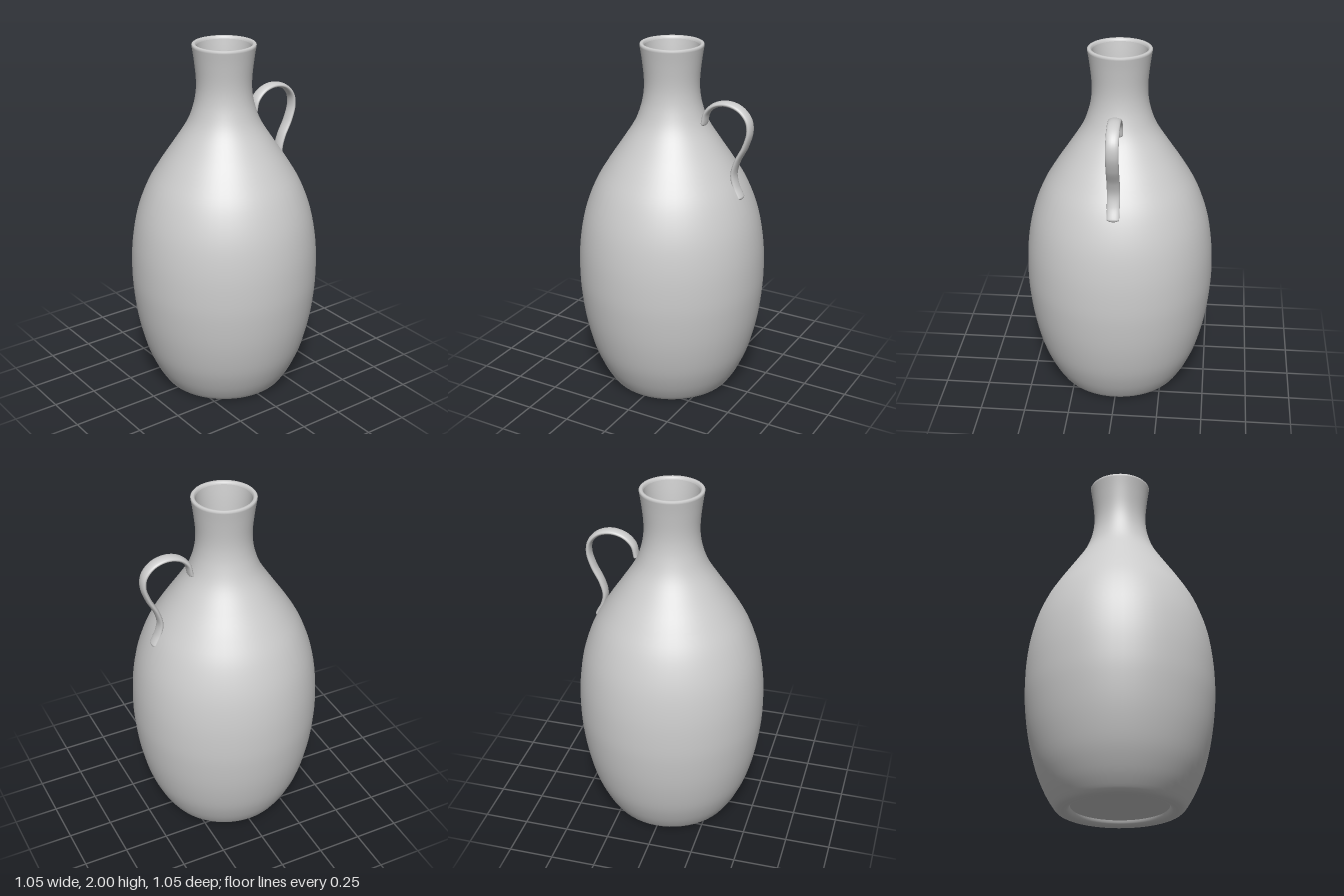
import * as THREE from 'three';

const clay = new THREE.MeshStandardMaterial({ color: 0xcccccc });
clay.name = 'grey clay';

const vec2 = (list) => list.map(([r, y]) => new THREE.Vector2(r, y));
const smooth = (list, n) => new THREE.SplineCurve(vec2(list)).getPoints(n);

function lathe(name, points) {
  const mesh = new THREE.Mesh(new THREE.LatheGeometry(points, 56), clay);
  mesh.name = name;
  return mesh;
}

function createHandle() {
  const handle = new THREE.Group();
  handle.name = 'handle';
  const path = new THREE.CatmullRomCurve3([
    [0.2, 1.585], [0.215, 1.645], [0.262, 1.692], [0.335, 1.711], [0.41, 1.692],
    [0.46, 1.64], [0.471, 1.575], [0.447, 1.49], [0.402, 1.4], [0.383, 1.325],
    [0.396, 1.26], [0.426, 1.2],
  ].map(([x, y]) => new THREE.Vector3(x, y, 0)));
  // a flat strap: a thin tube widened along z
  const thickness = 0.0145, widen = 2.4;
  const strap = new THREE.Mesh(new THREE.TubeGeometry(path, 64, thickness, 16).scale(1, 1, widen), clay);
  strap.name = 'handleStrap';
  handle.add(strap);
  // rounded strap ends
  for (const t of [0, 1]) {
    const end = new THREE.Mesh(new THREE.SphereGeometry(thickness, 16, 10).scale(1, 1, widen), clay);
    end.position.copy(path.getPoint(t));
    end.name = t ? 'handleLowerEnd' : 'handleUpperEnd';
    handle.add(end);
  }
  return handle;
}

export function createModel() {
  const jug = new THREE.Group();
  jug.name = 'jug';

  // outer wall, from the foot up to the lip
  const outer = smooth([
    [0.31, 0], [0.338, 0.008], [0.365, 0.04], [0.41, 0.12], [0.458, 0.24], [0.497, 0.4],
    [0.519, 0.56], [0.526, 0.7], [0.518, 0.87], [0.488, 1.04], [0.43, 1.2], [0.355, 1.33],
    [0.275, 1.45], [0.205, 1.56], [0.17, 1.65], [0.154, 1.73], [0.152, 1.81],
    [0.162, 1.91], [0.173, 1.985],
  ], 72);
  jug.add(lathe('outerWall', outer));

  // rounded lip
  jug.add(lathe('lip', vec2([
    [0.173, 1.985], [0.174, 1.994], [0.169, 2], [0.158, 2], [0.152, 1.995], [0.149, 1.985],
  ])));

  // inner wall, from the lip down to the floor
  const inner = smooth([
    [0.149, 1.985], [0.138, 1.9], [0.13, 1.8], [0.133, 1.72], [0.148, 1.64], [0.182, 1.55],
    [0.25, 1.44], [0.33, 1.32], [0.405, 1.19], [0.462, 1.03], [0.492, 0.87], [0.5, 0.7],
    [0.493, 0.56], [0.472, 0.4], [0.434, 0.25], [0.385, 0.13], [0.34, 0.06],
  ], 64);
  jug.add(lathe('innerWall', inner));
  jug.add(lathe('innerFloor', vec2([[0.34, 0.06], [0, 0.06]])));

  // foot ring and recessed underside
  jug.add(lathe('footRing', smooth([[0.265, 0.03], [0.272, 0.014], [0.287, 0.003], [0.31, 0]], 8)));
  jug.add(lathe('underside', vec2([[0, 0.03], [0.265, 0.03]])));

  jug.add(createHandle());
  return jug;
}
